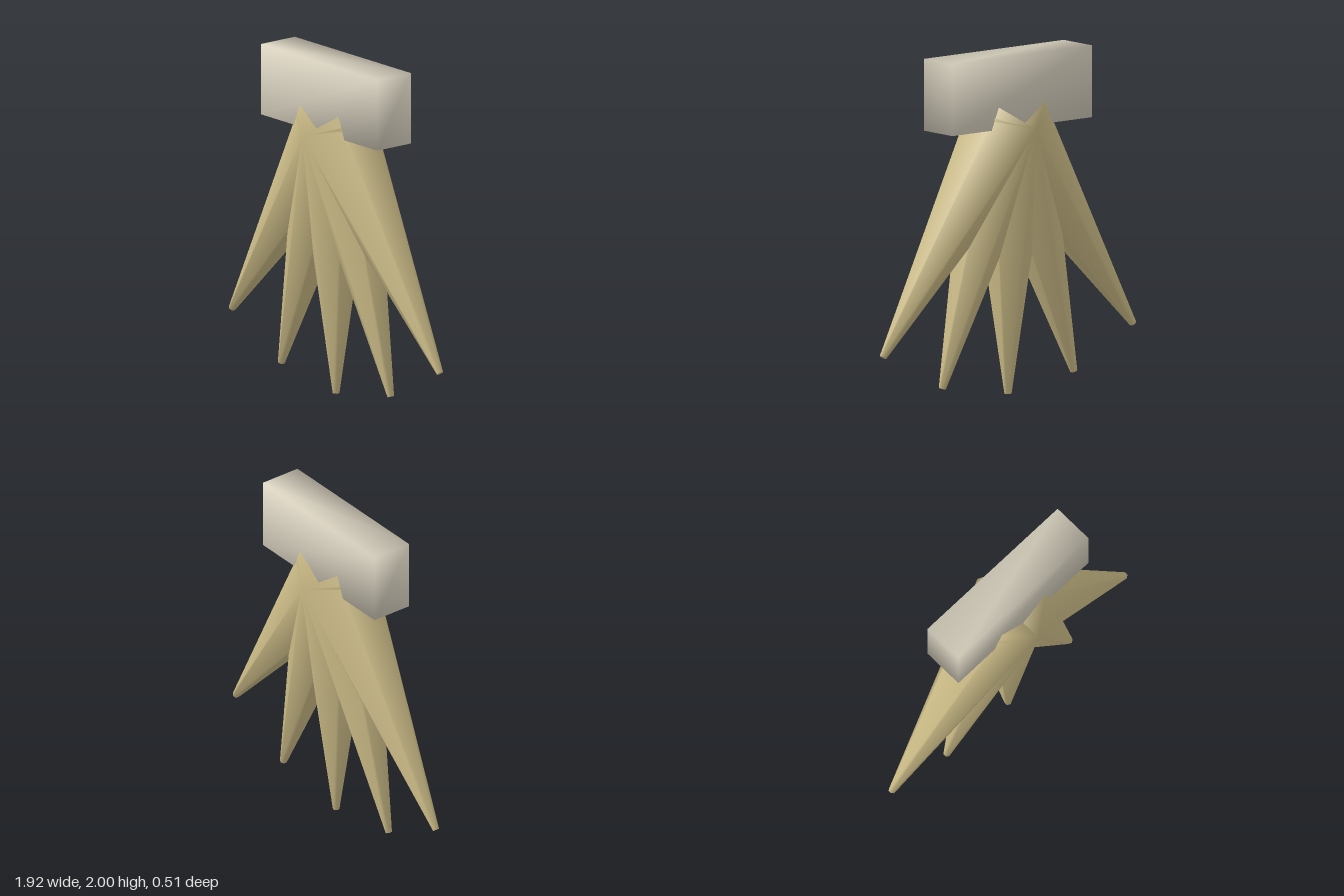
import * as THREE from 'three';
import { mergeVertices } from 'three/addons/utils/BufferGeometryUtils.js';

// Weld all corners so that shading rolls softly over every edge
function soften(geometry) {
  geometry.deleteAttribute('normal');
  geometry.deleteAttribute('uv');
  const welded = mergeVertices(geometry, 1e-4);
  welded.computeVertexNormals();
  return welded;
}

export function createModel() {
  const group = new THREE.Group();
  const paleBone = new THREE.MeshStandardMaterial({ color: 0xd9d2c0 });
  paleBone.name = 'paleBone';
  const tan = new THREE.MeshStandardMaterial({ color: 0xc9b985 });
  tan.name = 'tan';

  const pivotY = 1.579;
  const spikeLength = 1.579;

  // Crossbar on top
  const bar = new THREE.Mesh(soften(new THREE.BoxGeometry(1.053, 0.421, 0.253)), paleBone);
  bar.name = 'crossbar';
  bar.position.y = pivotY + 0.2105;
  group.add(bar);

  // Fan of five six-sided spikes, all hanging from one point
  const spikeGeometry = new THREE.CylinderGeometry(0.2526, 0.021, spikeLength, 6);
  spikeGeometry.translate(0, -spikeLength / 2, 0);
  const spikeShape = soften(spikeGeometry);
  for (let i = -2; i <= 2; i++) {
    const spike = new THREE.Mesh(spikeShape, tan);
    spike.name = `spike${i + 3}`;
    spike.position.y = pivotY;
    spike.rotation.z = i * 0.32;
    group.add(spike);
  }
  return group;
}
